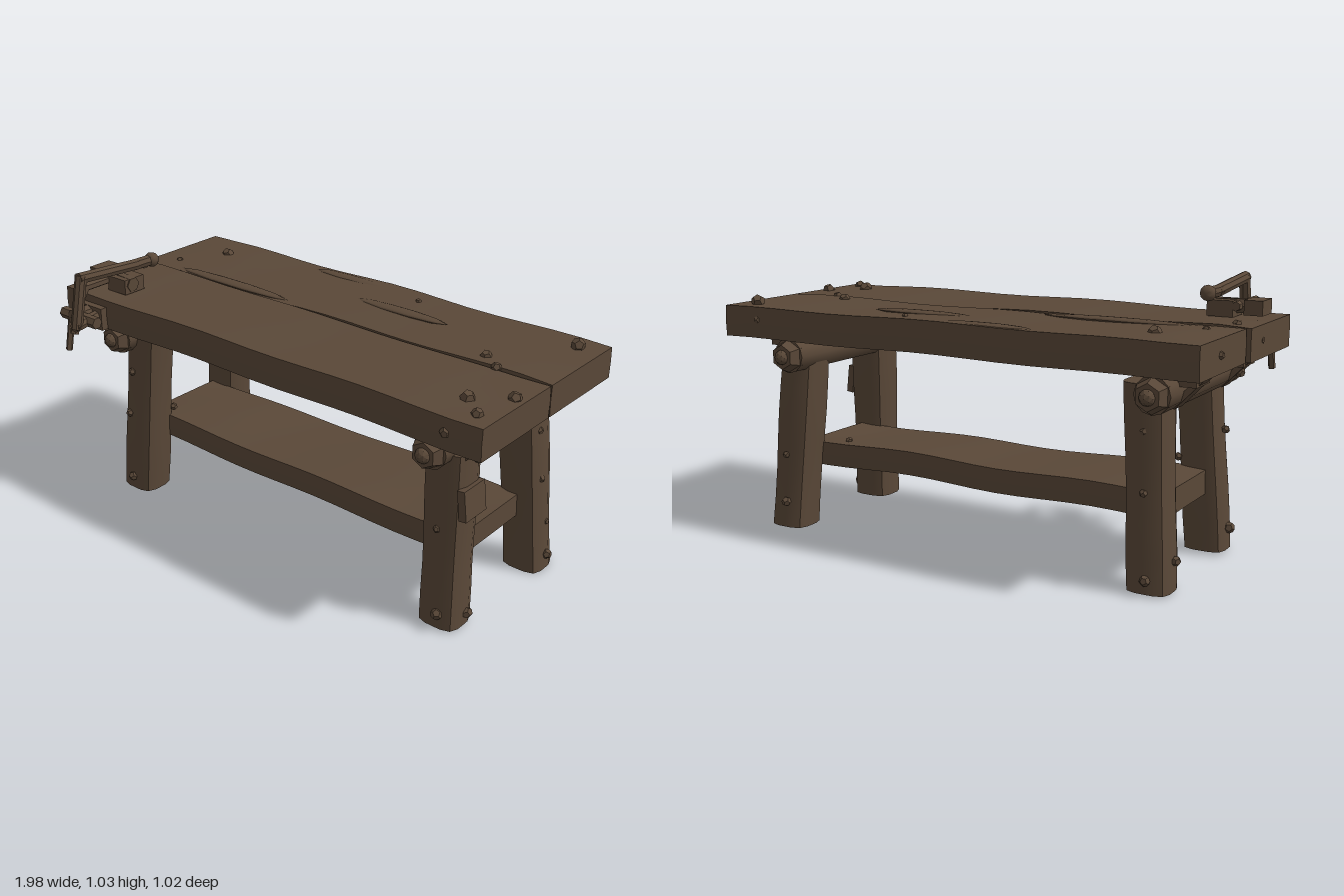
import * as THREE from 'three';
import { toCreasedNormals } from 'three/addons/utils/BufferGeometryUtils.js';

const wood = new THREE.MeshStandardMaterial({ color: 0x5a4838 });
wood.name = 'dark brown wood';
const V = (x, y, z) => new THREE.Vector3(x, y, z);

// Moves every vertex by a rule
function reshape(geo, rule) {
  const p = geo.attributes.position, v = new THREE.Vector3();
  for (let i = 0; i < p.count; i++) {
    v.fromBufferAttribute(p, i);
    rule(v);
    p.setXYZ(i, v.x, v.y, v.z);
  }
  return geo;
}

export function createModel() {
  const model = new THREE.Group();
  model.name = 'workbench';

  const add = (parent, name, geo, crease = 0.7) => {
    const mesh = new THREE.Mesh(toCreasedNormals(geo, crease), wood);
    mesh.name = name;
    parent.add(mesh);
    return mesh;
  };

  // Hand-cut board with gently uneven faces and edges
  function board(name, x0, x1, y0, y1, z0, z1, seed, wob = 0.007) {
    const w = x1 - x0, h = y1 - y0, d = z1 - z0;
    const geo = new THREE.BoxGeometry(w, h, d, 16, 2, 6);
    reshape(geo, v => {
      const { x, y, z } = v;
      const mid = Math.abs(x) < w / 2 - 0.01 ? 1 : 0;
      v.y += mid * wob * Math.sin(x * 5 + z * 6 + seed) * Math.cos(x * 3 - z * 4 + seed * 2);
      v.z += mid * Math.sign(z) * 0.5 * wob * Math.sin(x * 8 + seed + Math.sign(z));
      if (Math.abs(y) < h * 0.2) v.z += Math.abs(z) > d / 2 - 0.01 ? Math.sign(z) * 0.003 : 0;
    });
    const mesh = add(model, name, geo);
    mesh.position.set((x0 + x1) / 2, (y0 + y1) / 2, (z0 + z1) / 2);
    return mesh;
  }
  board('frontTopPlank', -0.985, 0.99, 0.777, 0.896, -0.072, 0.343, 1);
  board('backTopPlank', -0.97, 0.99, 0.777, 0.896, -0.5, -0.081, 2.6);
  board('lowerShelf', -0.77, 0.8, 0.24, 0.333, -0.26, 0.125, 4, 0.01);

  // Round-cornered legs, leaning from foot to top
  function leg(name, foot, top, seed) {
    const y0 = foot.y, h = top.y - foot.y;
    const geo = new THREE.CylinderGeometry(1, 1, 1, 16, 6);
    reshape(geo, v => {
      const t = v.y + 0.5;
      const r = Math.hypot(v.x, v.z);
      const k = r > 0.01 ? 1 / Math.pow(v.x ** 4 + v.z ** 4, 0.25) : 0;
      const s = 1 + 0.03 * Math.sin(t * 7 + seed) * (t > 0.05 ? 1 : 0);
      v.x = foot.x + (top.x - foot.x) * t + v.x * k * 0.08 * s;
      v.z = foot.z + (top.z - foot.z) * t + v.z * k * 0.074 * s;
      v.y = y0 + h * t;
    });
    add(model, name, geo);
  }
  leg('frontRightLeg', V(-0.755, 0.015, 0.185), V(-0.712, 0.73, 0.152), 0);
  leg('backRightLeg', V(-0.755, 0.01, -0.335), V(-0.715, 0.73, -0.3), 1);
  leg('frontLeftLeg', V(0.785, 0.01, 0.185), V(0.765, 0.69, 0.152), 2);
  leg('backLeftLeg', V(0.815, 0.003, -0.335), V(0.765, 0.69, -0.3), 3);

  // Crossbeams with nut-shaped ends, and slanted braces out to the plank
  for (const [side, bx] of [[-1, -0.78], [1, 0.745]]) {
    const beam = new THREE.Group();
    beam.name = side > 0 ? 'leftCrossbeam' : 'rightCrossbeam';
    beam.position.set(bx, 0.706, -0.08);
    model.add(beam);
    const body = new THREE.CylinderGeometry(0.067, 0.067, 0.7, 12, 4).rotateX(Math.PI / 2);
    add(beam, 'beamLog', body);
    for (const end of [-1, 1]) {
      const nut = new THREE.CylinderGeometry(0.048, 0.068, 0.05, 6).rotateX(end * Math.PI / 2);
      add(beam, 'beamNut', nut, 0.3).position.z = end * 0.365;
      add(beam, 'beamPin', new THREE.IcosahedronGeometry(0.03, 1), 0.3).position.z = end * 0.385;
    }
    for (const z of [0.158, -0.285]) {
      const brace = add(model, 'brace', new THREE.BoxGeometry(0.17, 0.022, 0.076));
      brace.position.set(side * 0.865, 0.712, z);
      brace.rotation.z = side * 0.8;
      const foot = add(model, 'bracePad', new THREE.BoxGeometry(0.1, 0.05, 0.12));
      foot.position.set(side * 0.85, 0.752, z);
    }
  }

  // Patch nailed on a leg
  const patch = add(model, 'legPatch', new THREE.BoxGeometry(0.03, 0.115, 0.125));
  patch.position.set(0.86, 0.517, 0.17);
  patch.rotation.z = 0.12;

  // Clamp at the front right corner of the top
  const clamp = new THREE.Group();
  clamp.name = 'clamp';
  model.add(clamp);
  function bar(name, pts, r, sides = 6) {
    for (let i = 0; i + 1 < pts.length; i++) {
      const a = pts[i], dir = pts[i + 1].clone().sub(a);
      const len = dir.length() + r;
      const rod = add(clamp, name, new THREE.CylinderGeometry(r, r, len, sides));
      rod.position.copy(a).addScaledVector(dir, 0.5);
      rod.quaternion.setFromUnitVectors(V(0, 1, 0), dir.normalize());
    }
  }
  bar('clampFrame', [V(-0.765, 0.988, 0.08), V(-0.77, 0.988, 0.16), V(-0.768, 1.01, 0.447),
    V(-0.768, 0.825, 0.485), V(-0.79, 0.83, 0.33)], 0.023, 8);
  bar('clampArm', [V(-0.84, 0.935, 0.17), V(-0.84, 0.935, 0.37), V(-0.84, 0.865, 0.415),
    V(-0.84, 0.77, 0.44)], 0.018);
  bar('clampHandle', [V(-0.9, 0.83, 0.425), V(-0.73, 0.83, 0.425)], 0.024);
  bar('clampSpindle', [V(-0.83, 0.83, 0.33), V(-0.83, 0.83, 0.43)], 0.035, 8);
  bar('clampCrossbar', [V(-0.93, 0.935, 0.215), V(-0.74, 0.93, 0.22)], 0.03);
  add(clamp, 'clampFoot', new THREE.BoxGeometry(0.1, 0.06, 0.1)).position.set(-0.78, 0.925, 0.21);
  add(clamp, 'clampEnd', new THREE.BoxGeometry(0.07, 0.055, 0.1)).position.set(-0.91, 0.935, 0.2);
  add(clamp, 'clampKnob', new THREE.IcosahedronGeometry(0.03, 1)).position.set(-0.765, 0.988, 0.08);
  bar('clampSpike', [V(-0.89, 0.83, 0.405), V(-0.895, 0.68, 0.43)], 0.014, 5);
  const jaw = add(clamp, 'clampJaw', new THREE.BoxGeometry(0.14, 0.09, 0.04));
  jaw.position.set(-0.82, 0.82, 0.355);

  // Rough studs: position and size
  const studs = [
    [-0.75, 0.9, -0.35, 0.026], [-0.86, 0.897, -0.17, 0.014], [0.9, 0.908, -0.415, 0.027],
    [0.69, 0.9, -0.14, 0.022], [0.77, 0.898, -0.08, 0.02], [0.2, 0.897, -0.42, 0.013],
    [-0.91, 0.897, -0.01, 0.018], [0.95, 0.897, 0.09, 0.026], [0.83, 0.9, 0.19, 0.028],
    [0.92, 0.9, 0.27, 0.022], [0.85, 0.84, 0.343, 0.02], [0.83, 0.85, -0.5, 0.015],
    [-0.975, 0.84, 0.05, 0.016], [-0.97, 0.84, -0.32, 0.015],
    [-0.76, 0.07, 0.26, 0.02], [-0.77, 0.36, 0.245, 0.016], [-0.75, 0.55, 0.235, 0.016],
    [-0.84, 0.1, 0.18, 0.022], [-0.82, 0.48, 0.16, 0.016], [-0.84, 0.12, -0.33, 0.018],
    [0.8, 0.07, 0.26, 0.022], [0.77, 0.4, 0.24, 0.014], [0.865, 0.055, 0.165, 0.022],
    [0.895, 0.065, -0.34, 0.02], [0.87, 0.2, -0.345, 0.017], [0.86, 0.4, -0.3, 0.018],
    [0.845, 0.6, -0.285, 0.017], [0.8, 0.11, -0.41, 0.02], [0.8, 0.3, -0.4, 0.014],
    [-0.76, 0.06, -0.41, 0.02], [-0.74, 0.36, -0.39, 0.015], [-0.73, 0.57, -0.375, 0.015],
    [-0.66, 0.37, 0.1, 0.016], [0.64, 0.335, -0.2, 0.015], [0.87, 0.68, 0.16, 0.02],
    [0.9, 0.74, -0.285, 0.016], [-0.87, 0.7, 0.15, 0.02],
  ];
  const studGroup = new THREE.Group();
  studGroup.name = 'studs';
  model.add(studGroup);
  studs.forEach(([x, y, z, r], i) => {
    const stud = add(studGroup, 'stud', new THREE.DodecahedronGeometry(r), 0.2);
    stud.position.set(x, y, z);
    stud.rotation.set(i, i * 2, 0);
  });

  // Raised splinters along the back plank
  for (const [x, z, w] of [[-0.5, -0.11, 0.3], [0.2, -0.3, 0.22], [-0.15, -0.46, 0.2]]) {
    const chip = add(model, 'splinter', new THREE.SphereGeometry(1, 10, 6));
    chip.scale.set(w, 0.011, 0.03);
    chip.position.set(x, 0.895, z);
  }
  return model;
}
